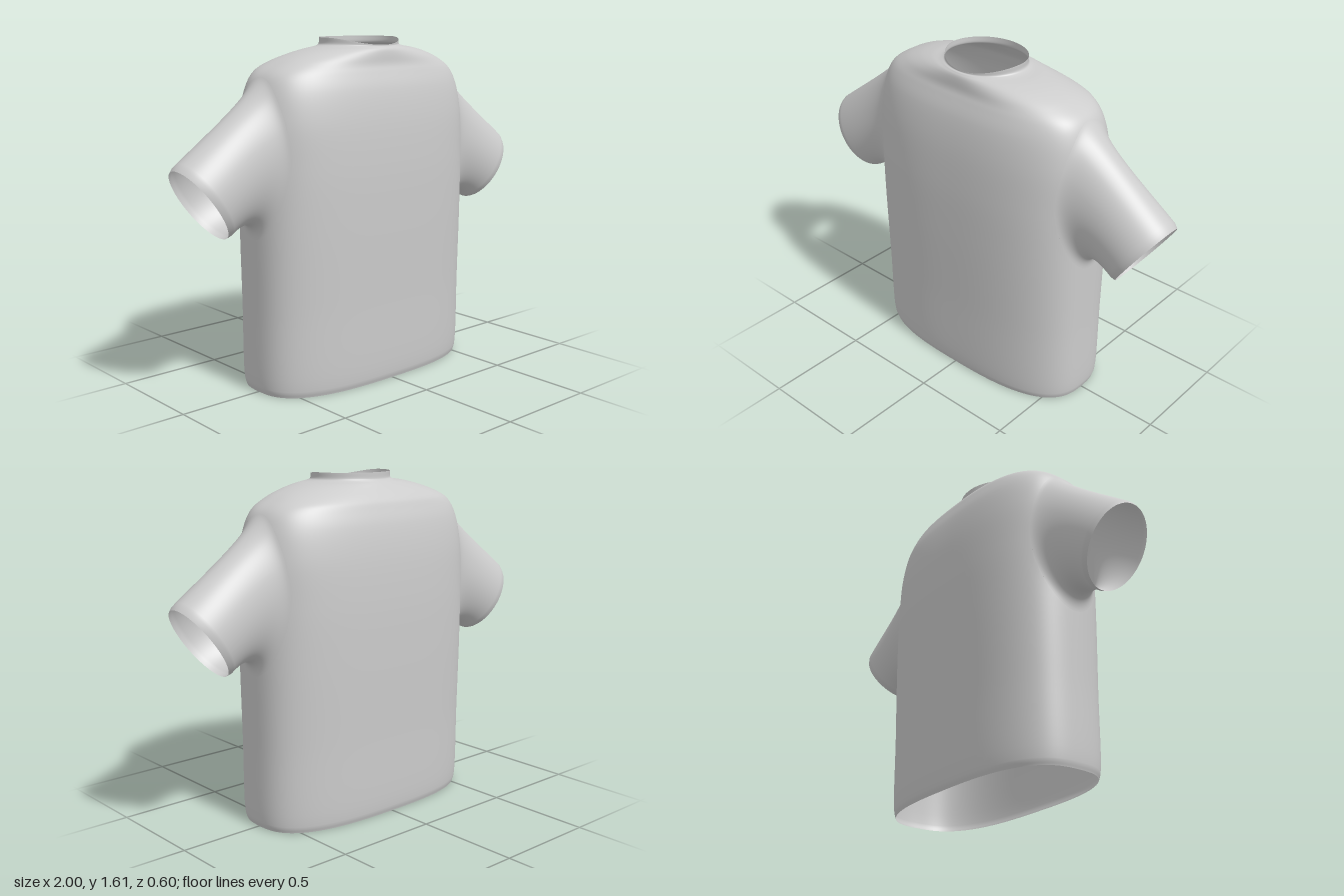
import * as THREE from 'three';

const material = new THREE.MeshStandardMaterial({ color: 0xcccccc, side: THREE.DoubleSide });
const N = 112; // points per ring
const { lerp, smoothstep, clamp } = THREE.MathUtils;

// Torso profile from hem to collar: height, half width, half depth
const profile = new THREE.CatmullRomCurve3([
  [0, 0.592, 0.272], [0.03, 0.6, 0.28], [0.4, 0.603, 0.29], [0.8, 0.606, 0.3],
  [1.05, 0.604, 0.3], [1.25, 0.6, 0.288], [1.38, 0.576, 0.266], [1.45, 0.54, 0.242],
  [1.5, 0.465, 0.22], [1.535, 0.375, 0.202], [1.555, 0.29, 0.19], [1.567, 0.215, 0.178],
  [1.576, 0.2, 0.172], [1.605, 0.198, 0.171],
].map(([y, a, b]) => new THREE.Vector3(a, y, b)));
const levels = profile.getPoints(13 * 9);

// Half width and half depth at any height
function sizeAt(y) {
  const i = clamp(levels.findIndex(p => p.y >= y), 1, levels.length - 1);
  const p = levels[i - 1], q = levels[i];
  return p.clone().lerp(q, clamp((y - p.y) / (q.y - p.y), 0, 1));
}

// Armhole: an ellipse on the side of the torso, in y and z
const HOLE = { y: 1.08, ry: 0.36, rz: 0.19 };
const SQUARE = 2.8;
const holeRadius = p => Math.hypot((p.y - HOLE.y) / HOLE.ry, p.z / HOLE.rz);

// Point on the torso's side at scale e of the armhole ellipse
function onSide(u, e) {
  const y = HOLE.y + HOLE.ry * e * Math.cos(u), z = HOLE.rz * e * Math.sin(u);
  const s = sizeAt(y);
  const x = s.x * Math.pow(Math.max(0, 1 - Math.pow(Math.abs(z) / s.z, SQUARE)), 1 / SQUARE);
  return new THREE.Vector3(x, y, z);
}

// Skin a list of closed rings, keeping the triangles that pass the test
function loft(name, rings, flip, keep = () => true) {
  const index = [];
  const add = (a, b, c) => { if (keep(a, b, c)) index.push(...(flip ? [a, c, b] : [a, b, c])); };
  for (let i = 0; i < rings.length - 1; i++) {
    for (let j = 0; j < N; j++) {
      const a = i * N + j, b = i * N + (j + 1) % N;
      add(a, b, a + N);
      add(b, b + N, a + N);
    }
  }
  const geometry = new THREE.BufferGeometry().setFromPoints(rings.flat());
  geometry.setIndex(index);
  geometry.computeVertexNormals();
  const mesh = new THREE.Mesh(geometry, material);
  mesh.name = name;
  return mesh;
}

// Body from hem to neckline, with both armholes cut out
function makeTorso() {
  const rings = levels.map(({ x: a, y, z: b }) => {
    const top = smoothstep(y, 1.47, 1.57);
    const n = lerp(SQUARE, 2, top);
    const dip = 0.032 * clamp((y - 1.565) / 0.04, 0, 1);
    return Array.from({ length: N }, (_, j) => {
      const t = (j + 0.5) / N * Math.PI * 2, c = Math.cos(t), s = Math.sin(t);
      const r = Math.pow(Math.abs(c) ** n + Math.abs(s) ** n, -1 / n);
      // the collar dips at the front
      return new THREE.Vector3(a * r * c, y - dip * Math.max(0, s) ** 2, b * r * s + 0.03 * top);
    });
  });
  // Points inside an armhole move out to its edge
  const points = rings.flat();
  const inside = points.map(p => holeRadius(p) < 1);
  points.forEach((p, i) => {
    if (!inside[i]) return;
    const side = Math.sign(p.x);
    p.copy(onSide(Math.atan2(p.z / HOLE.rz, (p.y - HOLE.y) / HOLE.ry), 1));
    p.x *= side;
  });
  return loft('torso', rings, true, (a, b, c) => !(inside[a] && inside[b] && inside[c]));
}

// Point on a cuff ellipse, tilted down and outwards
function cuffPoint(u, cx, cy, r, rz) {
  return new THREE.Vector3(cx + 0.567 * r * Math.cos(u), cy + 0.824 * r * Math.cos(u), rz * Math.sin(u));
}

// Sleeve flowing from the armhole edge to the cuff
function makeSleeve(name, side) {
  const steps = 28;
  const rings = Array.from({ length: steps + 2 }, () => []);
  for (let j = 0; j < N; j++) {
    const u = j / N * Math.PI * 2;
    const p0 = onSide(u, 1);
    const t0 = onSide(u, 0.97).sub(p0).setLength(0.25);
    const p1 = cuffPoint(u, 0.872, 0.924, 0.2, 0.156);
    const t1 = new THREE.Vector3(0.8, -0.6, 0).multiplyScalar(lerp(0.3, 0.5, (1 + Math.cos(u)) / 2));
    for (let i = 0; i <= steps; i++) {
      const s = i / steps, s2 = s * s, s3 = s2 * s;
      rings[i].push(new THREE.Vector3()
        .addScaledVector(p0, 2 * s3 - 3 * s2 + 1).addScaledVector(t0, s3 - 2 * s2 + s)
        .addScaledVector(p1, 3 * s2 - 2 * s3).addScaledVector(t1, s3 - s2));
    }
    rings[steps + 1].push(cuffPoint(u, 0.89, 0.91, 0.194, 0.148));
  }
  rings.flat().forEach(p => { p.x *= side; });
  return loft(name, rings, side < 0);
}

export function createModel() {
  const shirt = new THREE.Group();
  shirt.name = 'shirt';
  shirt.add(makeTorso(), makeSleeve('leftSleeve', 1), makeSleeve('rightSleeve', -1));
  return shirt;
}
